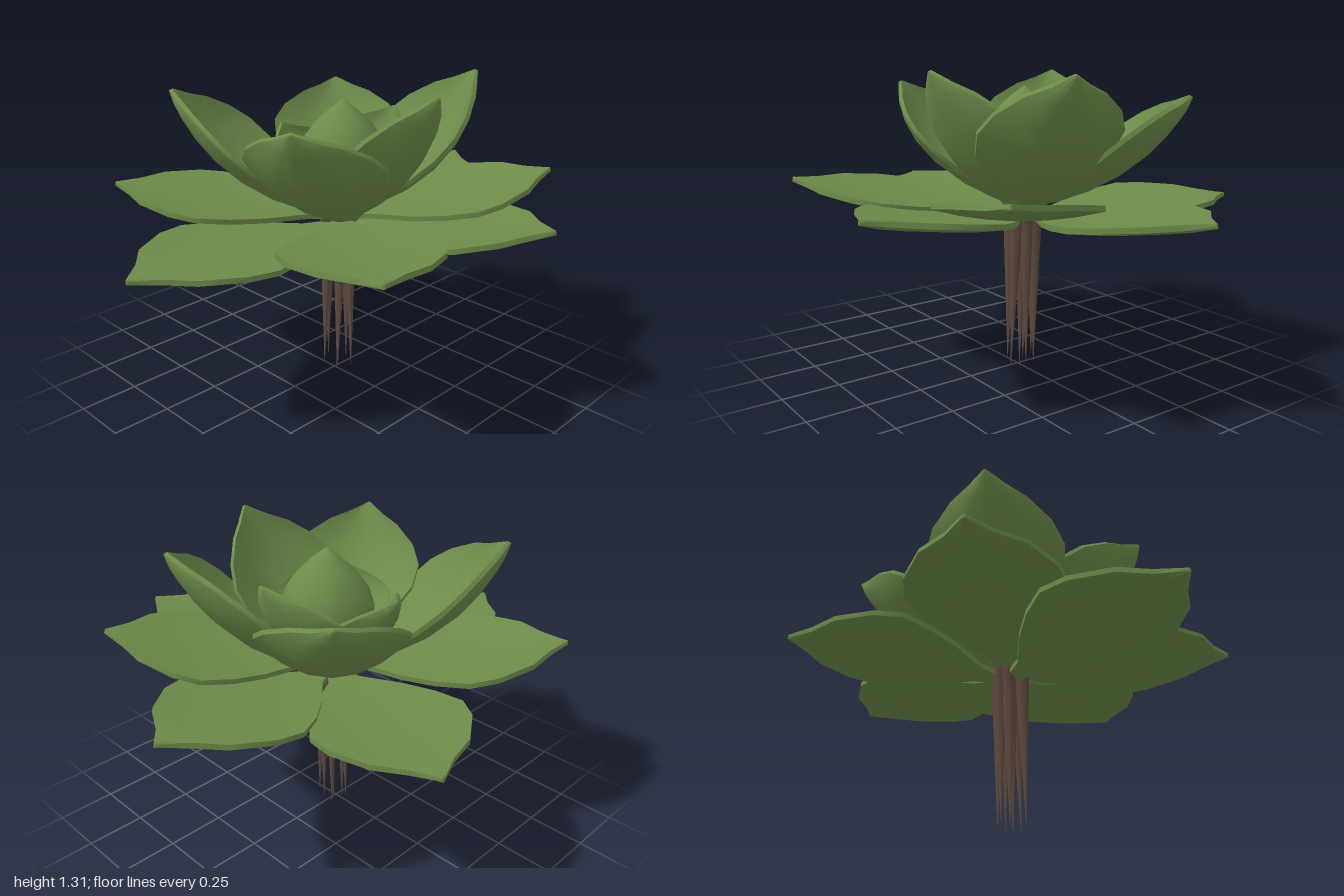
import * as THREE from 'three';
import { toCreasedNormals } from 'three/addons/utils/BufferGeometryUtils.js';

const leafGreen = new THREE.MeshStandardMaterial({ color: 0x6d8b4a });
leafGreen.name = 'leafGreen';
const rootBrown = new THREE.MeshStandardMaterial({ color: 0x5e4a40 });
rootBrown.name = 'rootBrown';

const CX = -0.01, CZ = -0.04; // axis of the flower

// Outline of a petal: [position along length, half width]
const OUTER = [[0, 0.03], [0.12, 0.07], [0.28, 0.19], [0.42, 0.27], [0.56, 0.32], [0.68, 0.295],
  [0.83, 0.2], [0.91, 0.09], [1, 0.004]];
const MIDDLE = [[0, 0.03], [0.12, 0.11], [0.28, 0.22], [0.45, 0.28], [0.62, 0.29], [0.76, 0.245],
  [0.88, 0.155], [0.94, 0.075], [1, 0.004]];

// Thick, cupped petal swept along a curve from the base to the tip
function petalGeometry(base, bend, tip, outline, widthScale, cup, thick) {
  const curve = new THREE.QuadraticBezierCurve3(base, bend, tip);
  const up = new THREE.Vector3(0, 1, 0);
  const cols = 6, ring = 2 * (cols + 1);
  const pos = [], idx = [];
  for (const [u, halfWidth] of outline) {
    const c = curve.getPoint(u), t = curve.getTangent(u);
    const side = new THREE.Vector3().crossVectors(up, t).normalize();
    const normal = new THREE.Vector3().crossVectors(t, side);
    const w = halfWidth * widthScale;
    for (let j = 0; j < ring; j++) {
      const top = j <= cols;
      const v = (top ? j : ring - 1 - j) / cols * 2 - 1;
      const edge = thick * (0.5 - 0.2 * v * v) * (u > 0.95 ? 0.6 : 1);
      const p = c.clone().addScaledVector(side, v * w)
        .addScaledVector(normal, cup * w * v * v + (top ? edge : -edge));
      pos.push(p.x, p.y, p.z);
    }
  }
  const rows = outline.length;
  for (let i = 0; i < rows - 1; i++) {
    for (let j = 0; j < ring; j++) {
      const k = (j + 1) % ring;
      const a = i * ring + j, b = i * ring + k, c = b + ring, d = a + ring;
      idx.push(a, d, c, a, c, b);
    }
  }
  // close both ends
  const last = (rows - 1) * ring;
  for (let j = 1; j < ring - 1; j++) {
    idx.push(0, j, j + 1, last, last + j + 1, last + j);
  }
  const g = new THREE.BufferGeometry();
  g.setAttribute('position', new THREE.Float32BufferAttribute(pos, 3));
  g.setIndex(idx);
  return toCreasedNormals(g, 0.7);
}

function addWhorl(parent, name, tips, o) {
  const whorl = new THREE.Group();
  whorl.name = name + 's';
  for (const [x, y, z, baseY] of tips) {
    const dx = x - CX, dz = z - CZ, r = Math.hypot(dx, dz);
    const at = (f, h) => new THREE.Vector3(CX + dx * f, h, CZ + dz * f);
    const geo = petalGeometry(at(o.start / r, baseY), at(o.bend, baseY + (y - baseY) * o.rise),
      new THREE.Vector3(x, y, z), o.outline, o.width, o.cup, o.thick);
    const mesh = new THREE.Mesh(geo, leafGreen);
    mesh.name = name;
    whorl.add(mesh);
  }
  parent.add(whorl);
}

export function createModel() {
  const model = new THREE.Group();
  model.name = 'waterLily';

  // Spread outer petals: tip x, y, z and base height
  addWhorl(model, 'outerPetal', [
    [-0.05, 0.73, 1.0, 0.69], [0.78, 0.84, 0.56, 0.71], [0.89, 0.82, -0.3, 0.7],
    [0.58, 0.91, -0.75, 0.73], [-0.12, 0.8, -1.0, 0.69], [-0.89, 0.73, -0.38, 0.69],
    [-0.75, 0.85, 0.6, 0.73],
  ], { start: 0.03, bend: 0.52, rise: 0.1, outline: OUTER, width: 1, cup: 0.1, thick: 0.036 });

  // Rising middle petals
  addWhorl(model, 'middlePetal', [
    [0.28, 1.24, 0.5, 0.74], [0.47, 1.31, -0.08, 0.74], [0.23, 1.31, -0.65, 0.74],
    [-0.5, 1.2, -0.51, 0.74], [-0.53, 1.27, 0.43, 0.74],
  ], { start: 0.04, bend: 0.72, rise: 0.2, outline: MIDDLE, width: 1, cup: 0.42, thick: 0.032 });

  // Small inner petals hugging the bud
  addWhorl(model, 'innerPetal', [
    [0.0, 1.16, -0.38, 0.76], [-0.33, 1.09, 0.0, 0.76], [0.21, 1.06, 0.23, 0.76],
  ], { start: 0.03, bend: 0.85, rise: 0.25, outline: MIDDLE, width: 0.82, cup: 0.5, thick: 0.024 });

  // Pointed bud
  const budProfile = [[0.0, 0.7], [0.08, 0.72], [0.15, 0.8], [0.19, 0.9], [0.195, 0.99],
    [0.17, 1.07], [0.12, 1.14], [0.06, 1.195], [0.0, 1.24]].map(([r, y]) => new THREE.Vector2(r, y));
  const bud = new THREE.Mesh(new THREE.LatheGeometry(budProfile, 8), leafGreen);
  bud.name = 'bud';
  bud.position.set(0, 0, -0.05);
  model.add(bud);

  // Bundle of tapering roots: top x, z and tip x, y, z
  const roots = new THREE.Group();
  roots.name = 'roots';
  const down = new THREE.Vector3(0, -1, 0);
  for (const [x, z, tx, ty, tz] of [
    [-0.065, -0.03, -0.06, 0.04, -0.02], [-0.045, 0.0, -0.045, 0.01, 0.02],
    [-0.04, -0.07, -0.04, 0.02, -0.065], [0.0, -0.035, 0.0, 0.0, -0.015],
    [0.005, -0.07, 0.005, 0.03, -0.07], [0.035, 0.0, 0.04, 0.03, 0.02],
    [0.04, -0.05, 0.065, 0.02, -0.04],
  ]) {
    const top = new THREE.Vector3(x, 0.74, z), tip = new THREE.Vector3(tx, ty, tz);
    const dir = tip.clone().sub(top), len = dir.length();
    const root = new THREE.Mesh(new THREE.CylinderGeometry(0.034, 0.001, len, 6), rootBrown);
    root.name = 'root';
    root.position.copy(top).add(tip).multiplyScalar(0.5);
    root.quaternion.setFromUnitVectors(down, dir.normalize());
    roots.add(root);
  }
  model.add(roots);
  return model;
}
